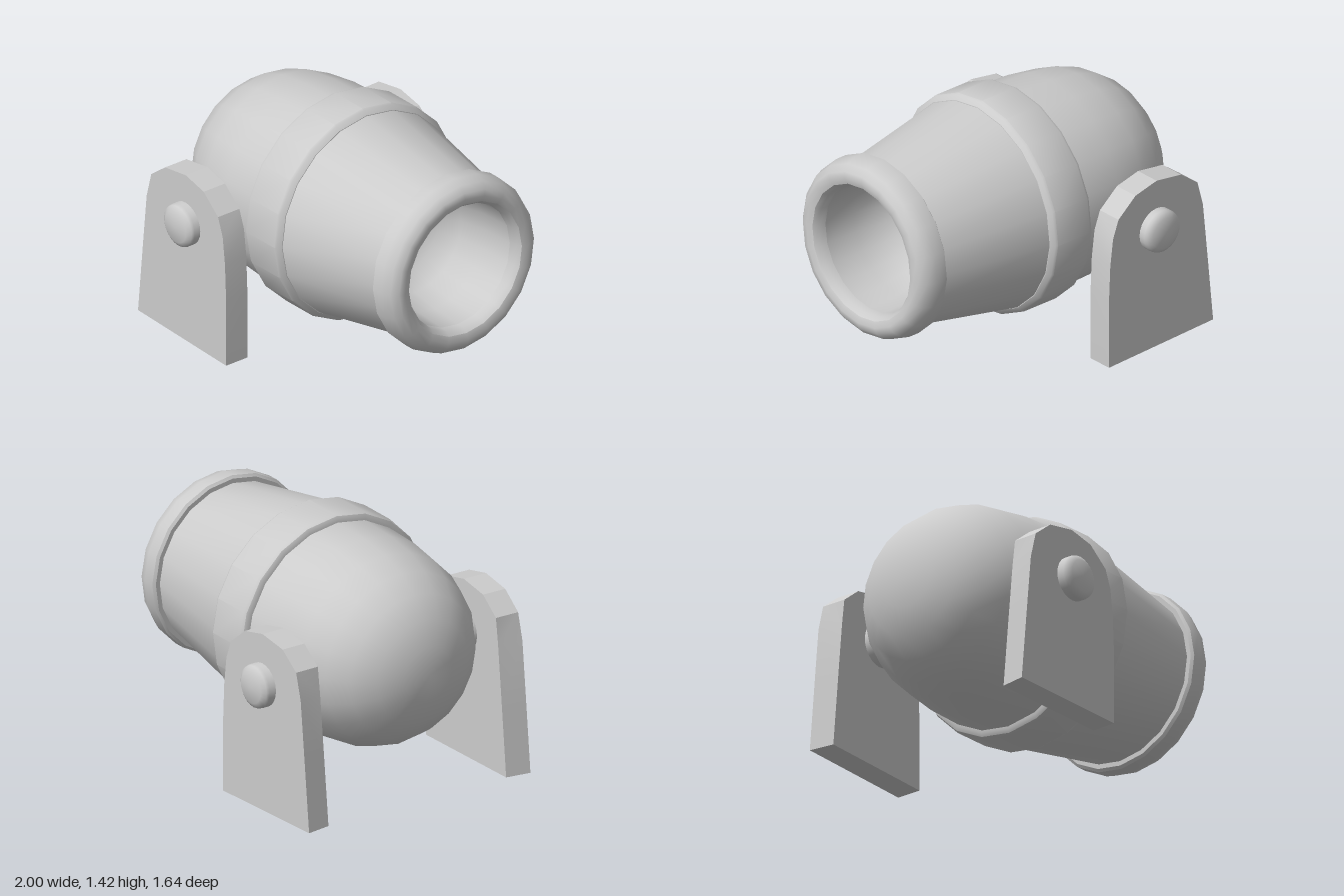
import * as THREE from 'three';
import { toCreasedNormals } from 'three/addons/utils/BufferGeometryUtils.js';

const TILT = 0.028;
const material = new THREE.MeshStandardMaterial({ color: 0xcccccc });

function addMesh(parent, name, geometry, crease = 0.6) {
  const mesh = new THREE.Mesh(toCreasedNormals(geometry, crease), material);
  mesh.name = name;
  parent.add(mesh);
  return mesh;
}

// Profile points are [radius, distance along axis]
function lathe(points, segments) {
  return new THREE.LatheGeometry(points.map(([r, s]) => new THREE.Vector2(r, s)), segments);
}

// Side plate: rounded-top tapered outline, z = 0 inner face, z = depth outer face
function plateGeometry() {
  const depth = 0.145;
  const outline = [
    [-0.905, 0], [-0.14, 0], [-0.14, 0.4], [-0.15, 0.62], [-0.17, 0.78], [-0.21, 0.885],
    [-0.335, 0.985], [-0.49, 1.017], [-0.67, 0.985], [-0.79, 0.89], [-0.83, 0.74], [-0.865, 0.4],
  ];
  const shape = new THREE.Shape(outline.map(([x, y]) => new THREE.Vector2(x + 0.5, y)));
  const geometry = new THREE.ExtrudeGeometry(shape, { depth, bevelEnabled: false });
  // The rear edge leans in slightly towards the inner face
  const p = geometry.attributes.position;
  for (let i = 0; i < p.count; i++) {
    if (p.getX(i) < -0.3 && p.getZ(i) < 0.01) p.setX(i, p.getX(i) + 0.02);
  }
  geometry.rotateY(-0.017);
  return geometry.translate(-0.5, 0, 0.595);
}

// Pivot pin with a softly domed cap
function pinGeometry() {
  const geometry = lathe([
    [0, 0.45], [0.123, 0.45], [0.123, 0.78], [0.118, 0.797], [0.09, 0.815], [0, 0.82],
  ], 24);
  return geometry.rotateX(Math.PI / 2).translate(-0.49, 0.725, 0);
}

// Reflects a geometry across z = 0 and restores its winding
function mirrorZ(geometry) {
  const g = geometry.index ? geometry.toNonIndexed() : geometry.clone();
  g.scale(1, 1, -1);
  const p = g.attributes.position;
  const a = new THREE.Vector3(), b = new THREE.Vector3();
  for (let i = 0; i < p.count; i += 3) {
    a.fromBufferAttribute(p, i + 1);
    b.fromBufferAttribute(p, i + 2);
    p.setXYZ(i + 1, b.x, b.y, b.z);
    p.setXYZ(i + 2, a.x, a.y, a.z);
  }
  return g;
}

export function createModel() {
  const model = new THREE.Group();
  model.name = 'cannon';

  // Barrel assembly, built along y then laid along x with a slight upward tilt
  const barrel = new THREE.Group();
  barrel.name = 'barrel';
  barrel.position.y = 0.795;
  barrel.rotation.z = -Math.PI / 2 + TILT;
  model.add(barrel);

  addMesh(barrel, 'breech', lathe([
    [0, -1], [0.16, -0.985], [0.3, -0.935], [0.415, -0.845], [0.497, -0.725],
    [0.55, -0.575], [0.577, -0.38], [0.585, -0.12],
  ], 20));

  addMesh(barrel, 'band', lathe([
    [0.57, -0.143], [0.598, -0.143], [0.618, -0.133], [0.626, -0.115],
    [0.626, 0.115], [0.618, 0.128], [0.595, 0.146], [0.57, 0.146],
  ], 20));

  addMesh(barrel, 'chase', lathe([[0.596, 0.12], [0.47, 0.83]], 20));

  // Rounded muzzle lip continuing into the hollow bore
  addMesh(barrel, 'muzzleRing', lathe([
    [0.45, 0.808], [0.5, 0.808], [0.515, 0.82], [0.515, 0.89], [0.495, 0.945],
    [0.46, 0.977], [0.425, 0.984], [0.39, 0.972], [0.37, 0.945], [0.365, 0.9],
  ], 20));
  addMesh(barrel, 'bore', lathe([
    [0.365, 0.9], [0.355, 0.7], [0.32, 0.54], [0.25, 0.44], [0.14, 0.38], [0, 0.36],
  ], 20), 1);

  // Supports on both sides
  for (const [side, place] of [['front', (g) => g], ['back', mirrorZ]]) {
    addMesh(model, side + 'SupportPlate', place(plateGeometry()), 0.35);
    addMesh(model, side + 'PivotPin', place(pinGeometry()), 1);
  }
  return model;
}
